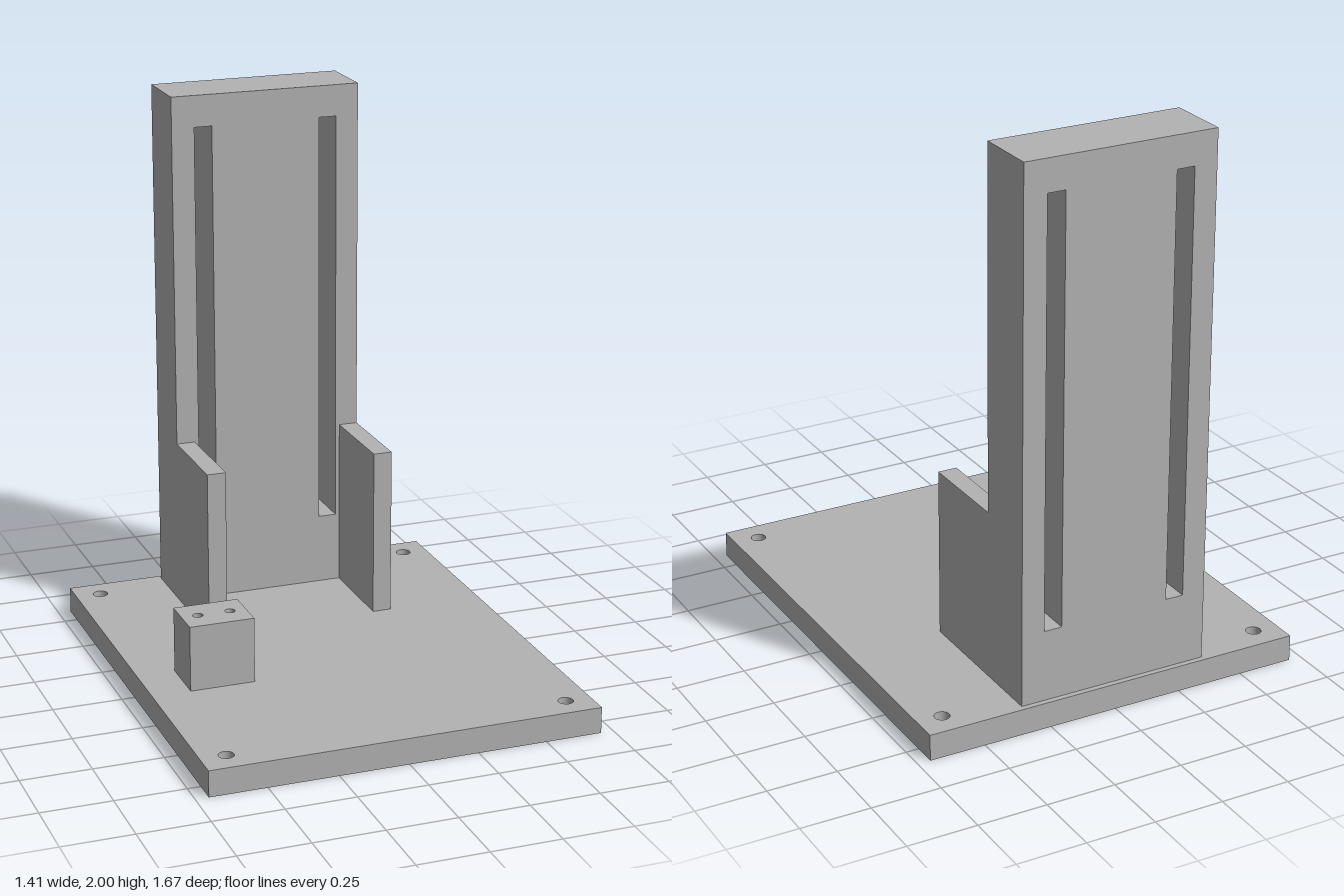
import * as THREE from 'three';

const BASE_TOP = 0.095;

// Rectangle outline from corner to corner
function rect(Type, x0, y0, x1, y1) {
  const p = new Type();
  p.moveTo(x0, y0);
  p.lineTo(x1, y0);
  p.lineTo(x1, y1);
  p.lineTo(x0, y1);
  p.closePath();
  return p;
}

function circle(x, y, r) {
  const p = new THREE.Path();
  p.absarc(x, y, r, 0, Math.PI * 2, true);
  return p;
}

function extrude(shape, depth) {
  return new THREE.ExtrudeGeometry(shape, { depth, bevelEnabled: false, curveSegments: 16 });
}

export function createModel() {
  const group = new THREE.Group();
  const grey = new THREE.MeshStandardMaterial({ color: 0xb2b2b2 });
  grey.name = 'grey';

  const add = (name, geometry) => {
    const mesh = new THREE.Mesh(geometry, grey);
    mesh.name = name;
    group.add(mesh);
    return mesh;
  };

  // Base plate with a mounting hole in each corner
  const base = rect(THREE.Shape, -0.704, -0.835, 0.704, 0.835);
  for (const x of [-0.612, 0.612]) {
    for (const y of [-0.742, 0.742]) base.holes.push(circle(x, y, 0.027));
  }
  add('basePlate', extrude(base, BASE_TOP).rotateX(-Math.PI / 2));

  // Upright column with two long slots cut through it
  const column = rect(THREE.Shape, -0.352, BASE_TOP, 0.352, 2);
  column.holes.push(rect(THREE.Path, -0.268, 0.355, -0.202, 1.885));
  column.holes.push(rect(THREE.Path, 0.202, 0.355, 0.268, 1.885));
  add('column', extrude(column, 0.235).translate(0, 0, -0.815));

  // Side plates reaching forward from the column
  for (const side of [-1, 1]) {
    const plate = add(side > 0 ? 'leftSidePlate' : 'rightSidePlate',
      new THREE.BoxGeometry(0.069, 0.71 - BASE_TOP, 0.355));
    plate.position.set(side * 0.3175, (0.71 + BASE_TOP) / 2, -0.4025);
  }

  // Small block with two vertical holes
  const block = rect(THREE.Shape, -0.566, -0.22, -0.332, -0.035);
  for (const x of [-0.507, -0.39]) block.holes.push(circle(x, -0.1275, 0.018));
  add('smallBlock', extrude(block, 0.333 - BASE_TOP).rotateX(-Math.PI / 2).translate(0, BASE_TOP, 0));

  return group;
}
